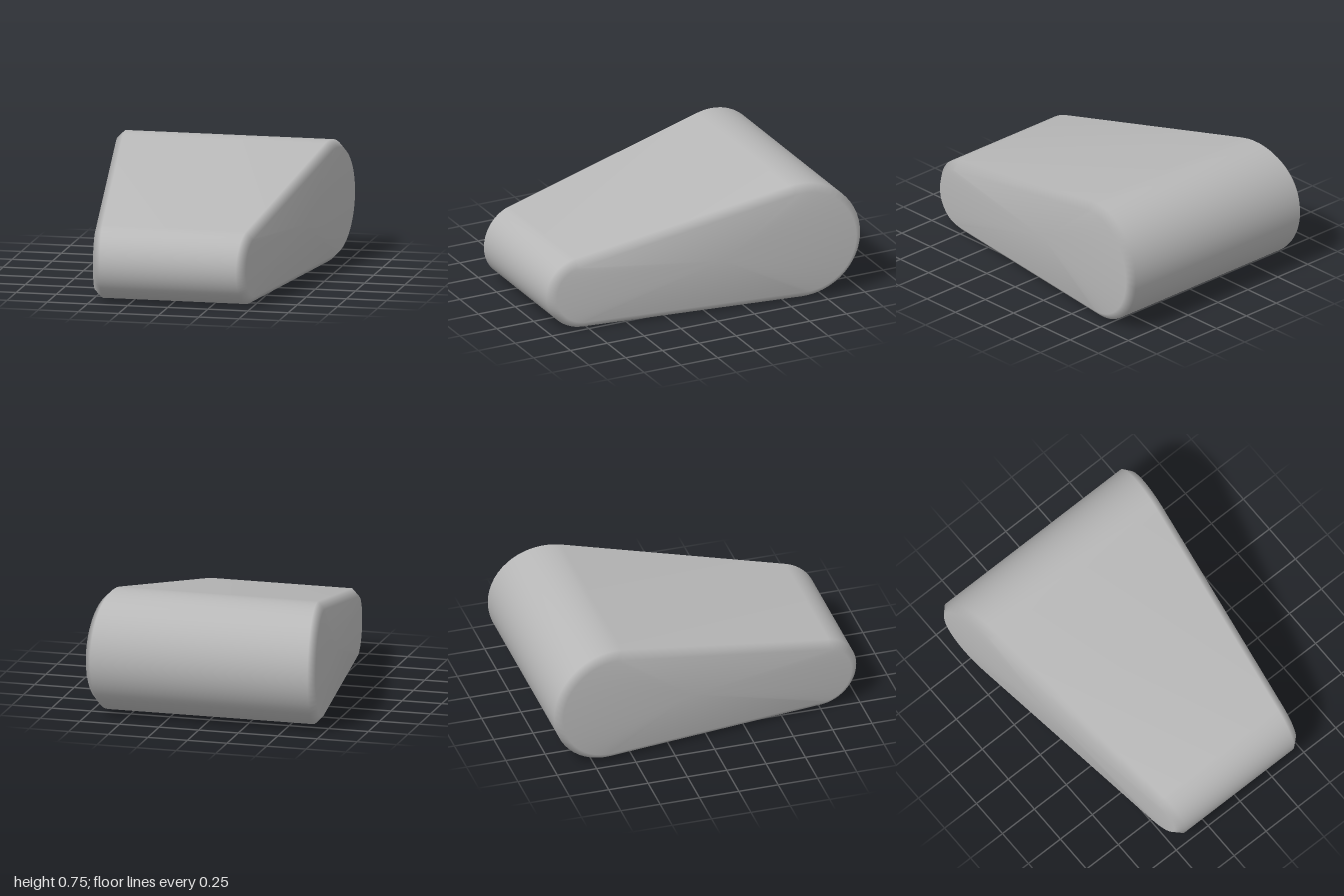
import * as THREE from 'three';

// Side outline: two unequal arcs joined by their common tangents
const BACK = { z: -0.626, y: 0.375, r: 0.374 };
const FRONT = { z: 0.77, y: 0.231, r: 0.23 };
const BEVEL = 0.046;
const STEPS = 28;

function outline(inset) {
  const dist = Math.hypot(FRONT.z - BACK.z, FRONT.y - BACK.y);
  const top = Math.PI / 2 - 2 * Math.asin((BACK.r - FRONT.r) / dist);
  const points = [];
  const arc = (c, from, to) => {
    for (let i = 0; i <= STEPS; i++) {
      const a = from + (to - from) * i / STEPS;
      points.push([c.z + (c.r - inset) * Math.cos(a), c.y + (c.r - inset) * Math.sin(a)]);
    }
  };
  arc(FRONT, -Math.PI / 2, top);
  arc(BACK, top, Math.PI * 1.5);
  return points;
}

// The body narrows evenly towards the front
const halfWidth = (z) => 0.601 - 0.131 * z;

function wedgeGeometry() {
  const positions = [], index = [];
  const outer = outline(0), inner = outline(BEVEL);
  const n = outer.length;

  // Cross-sections from right to left: bevel, body, bevel
  const rings = [[inner, -1, 0], [outer, -1, BEVEL], [outer, 1, BEVEL], [inner, 1, 0]];
  for (const [points, side, trim] of rings) {
    for (const [z, y] of points) positions.push(side * (halfWidth(z) - trim), y, z);
  }
  for (let k = 0; k < 3; k++) {
    for (let i = 0; i < n; i++) {
      const j = (i + 1) % n;
      const a = k * n + i, b = k * n + j;
      index.push(a, a + n, b, b, a + n, b + n);
    }
  }

  // Flat side caps
  const right = positions.length / 3, left = right + 1;
  for (const side of [-1, 1]) positions.push(side * halfWidth(-0.1), 0.33, -0.1);
  for (let i = 0; i < n; i++) {
    const j = (i + 1) % n;
    index.push(right, i, j, left, 3 * n + j, 3 * n + i);
  }

  const geometry = new THREE.BufferGeometry();
  geometry.setAttribute('position', new THREE.Float32BufferAttribute(positions, 3));
  geometry.setIndex(index);
  geometry.computeVertexNormals();
  return geometry;
}

export function createModel() {
  const group = new THREE.Group();
  group.name = 'roundedWedge';
  const grey = new THREE.MeshStandardMaterial({ color: 0xb8b8b8 });
  grey.name = 'grey';
  const body = new THREE.Mesh(wedgeGeometry(), grey);
  body.name = 'wedgeBody';
  group.add(body);
  return group;
}
